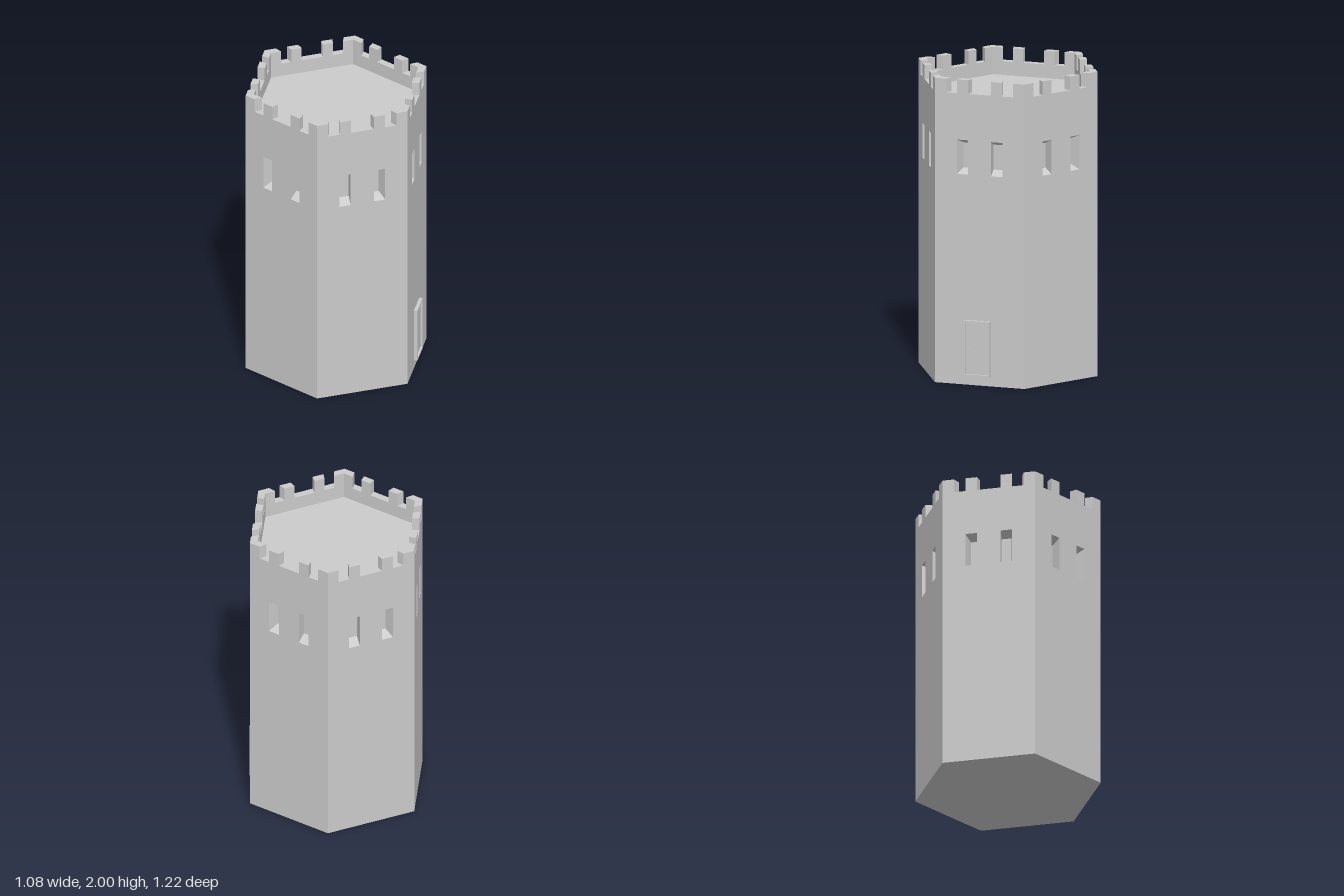
import * as THREE from 'three';

const R = 0.612;                        // corner radius of the hexagon
const A = R * Math.cos(Math.PI / 6);    // distance from axis to each wall
const FLOOR = 1.82, CRENEL = 1.91, TOP = 2;
const WIN_Y = 1.4925, WIN_H = 0.225, WIN_DEPTH = 0.07;

const material = new THREE.MeshStandardMaterial({ color: 0xcccccc, flatShading: true });

function add(parent, name, geometry, x = 0, y = 0, z = 0) {
  const mesh = new THREE.Mesh(geometry, material);
  mesh.name = name;
  mesh.position.set(x, y, z);
  parent.add(mesh);
  return mesh;
}

function rectPath(x0, x1, y0, y1, Type = THREE.Path) {
  return new Type([[x0, y0], [x1, y0], [x1, y1], [x0, y1]].map(p => new THREE.Vector2(...p)));
}

// Extrude a wall outline inwards, its sides converging on the tower axis
function radialExtrude(shape, depth, rule) {
  const g = new THREE.ExtrudeGeometry(shape, { depth, bevelEnabled: false });
  g.translate(0, 0, A - depth);
  const p = g.attributes.position;
  for (let i = 0; i < p.count; i++) {
    const z = p.getZ(i);
    p.setX(i, p.getX(i) * z / A);
    if (rule && z < A - depth / 2) p.setY(i, rule(p.getY(i)));
  }
  g.computeVertexNormals();
  return g;
}

// Wall with two window recesses that narrow towards the back
function wallGeometry() {
  const shape = rectPath(-R / 2, R / 2, 0, FLOOR, THREE.Shape);
  for (const s of [-1, 1]) {
    const c = s * 0.117;
    shape.holes.push(rectPath(c - 0.038, c + 0.038, WIN_Y - WIN_H / 2, WIN_Y + WIN_H / 2));
  }
  return radialExtrude(shape, WIN_DEPTH,
    y => Math.abs(y - WIN_Y) < 0.2 ? WIN_Y + (y - WIN_Y) * 0.73 : y);
}

// Parapet with corner merlons and two merlons between
function parapetGeometry() {
  const half = [[R / 2, TOP], [0.23, TOP], [0.23, CRENEL], [0.155, CRENEL],
    [0.155, TOP], [0.078, TOP], [0.078, CRENEL]];
  const mirrored = half.map(([x, y]) => [-x, y]).reverse();
  const outline = [[-R / 2, FLOOR], [R / 2, FLOOR], ...half, ...mirrored];
  return radialExtrude(new THREE.Shape(outline.map(p => new THREE.Vector2(...p))), 0.048);
}

// Door: raised frame, recessed panel and a small handle
function createDoor() {
  const door = new THREE.Group();
  door.name = 'door';
  const frame = rectPath(-0.0875, 0.0875, 0.06, 0.425, THREE.Shape);
  frame.holes.push(rectPath(-0.076, 0.076, 0.073, 0.414));
  add(door, 'doorFrame', new THREE.ExtrudeGeometry(frame, { depth: 0.034, bevelEnabled: false }), 0, 0, A - 0.01);
  add(door, 'doorPanel', new THREE.BoxGeometry(0.154, 0.343, 0.02), 0, 0.2435, A);
  add(door, 'doorHandle', new THREE.BoxGeometry(0.007, 0.066, 0.006), -0.054, 0.245, A + 0.019);
  for (const y of [0.218, 0.272])
    add(door, 'handleMount', new THREE.BoxGeometry(0.007, 0.008, 0.012), -0.054, y, A + 0.012);
  door.rotation.y = Math.PI / 2;
  door.position.z = 0.012;
  return door;
}

export function createModel() {
  const tower = new THREE.Group();
  tower.name = 'tower';

  // Solid core closes the windows and forms the roof floor
  const coreR = (A - WIN_DEPTH) / Math.cos(Math.PI / 6);
  add(tower, 'core', new THREE.CylinderGeometry(coreR, coreR, FLOOR, 6), 0, FLOOR / 2, 0);

  const wall = wallGeometry(), parapet = parapetGeometry();
  for (let i = 0; i < 6; i++) {
    const side = new THREE.Group();
    side.name = 'side' + (i + 1);
    add(side, 'wall', wall);
    add(side, 'parapet', parapet);
    side.rotation.y = Math.PI / 6 + i * Math.PI / 3;
    tower.add(side);
  }

  tower.add(createDoor());
  tower.position.x = -0.013;

  const model = new THREE.Group();
  model.add(tower);
  return model;
}
